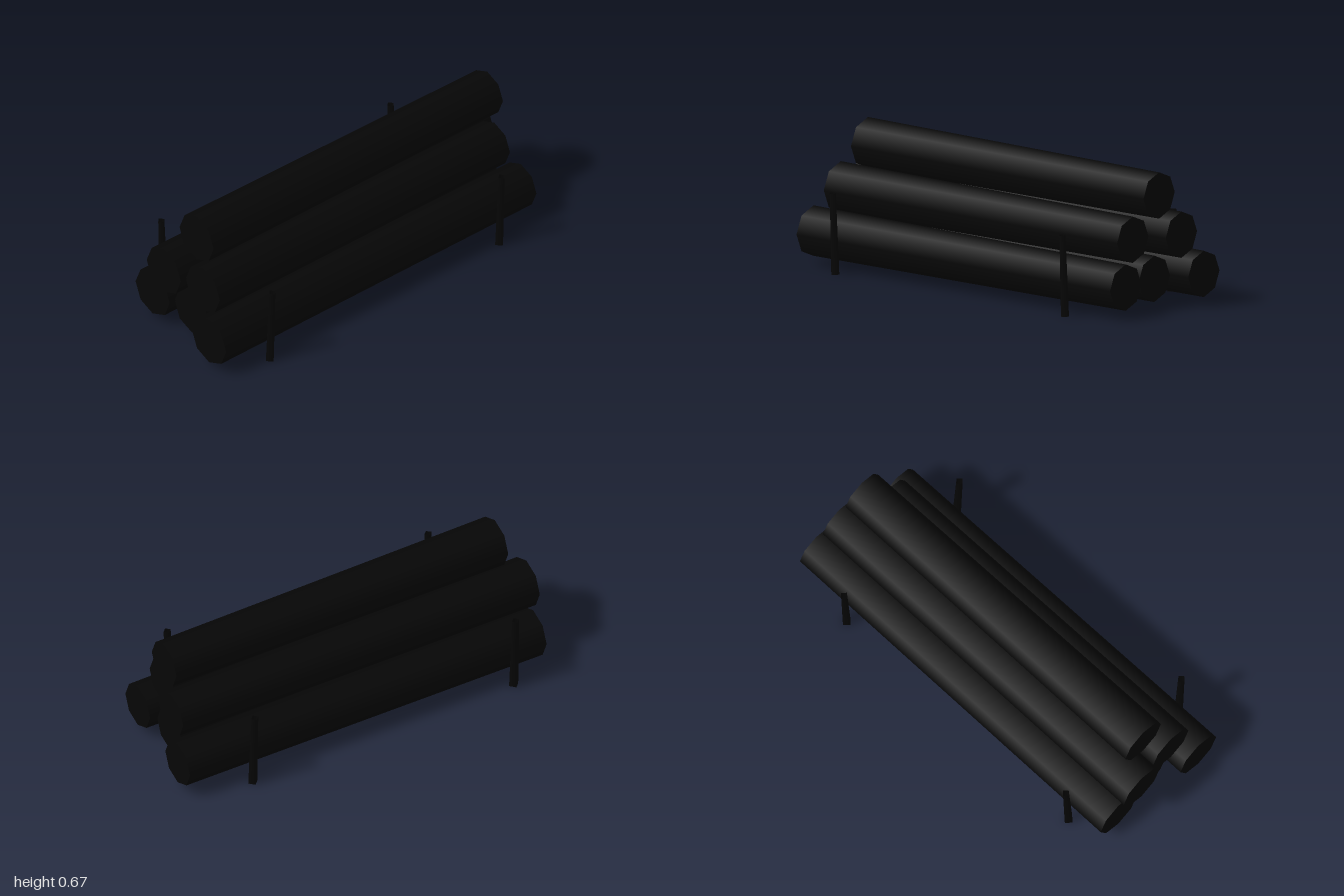
import * as THREE from 'three';

export function createModel() {
  const model = new THREE.Group();
  model.name = 'logPile';
  const darkWood = new THREE.MeshStandardMaterial({ color: 0x060606, side: THREE.DoubleSide });
  darkWood.name = 'darkWood';

  // Logs: [name, x start, x end, y, z], thicker at the -x end
  const logs = [
    ['bottomFrontLog', -1.0, 0.93, 0.15, 0.235],
    ['bottomMiddleLog', -0.9, 0.9, 0.15, 0],
    ['bottomBackLog', -0.935, 1.0, 0.15, -0.235],
    ['middleFrontLog', -0.935, 0.87, 0.35, 0.117],
    ['middleBackLog', -0.97, 0.965, 0.35, -0.117],
    ['topLog', -0.87, 0.93, 0.55, 0],
  ];
  for (const [name, x0, x1, y, z] of logs) {
    const geometry = new THREE.CylinderGeometry(0.11, 0.12, x1 - x0, 8);
    geometry.rotateZ(-Math.PI / 2);
    const log = new THREE.Mesh(geometry, darkWood);
    log.name = name;
    log.position.set((x0 + x1) / 2, y, z);
    model.add(log);
  }

  // Hollow four-sided stakes leaning outward on both sides
  const stakeGeometry = new THREE.CylinderGeometry(0.019, 0.025, 0.387, 4, 1, true);
  for (const x of [-0.745, 0.675]) {
    for (const side of [1, -1]) {
      const stake = new THREE.Mesh(stakeGeometry, darkWood);
      stake.name = side > 0 ? 'frontStake' : 'backStake';
      stake.position.set(x, 0.195, side * 0.381);
      stake.rotation.x = side * 0.046;
      model.add(stake);
    }
  }
  return model;
}
